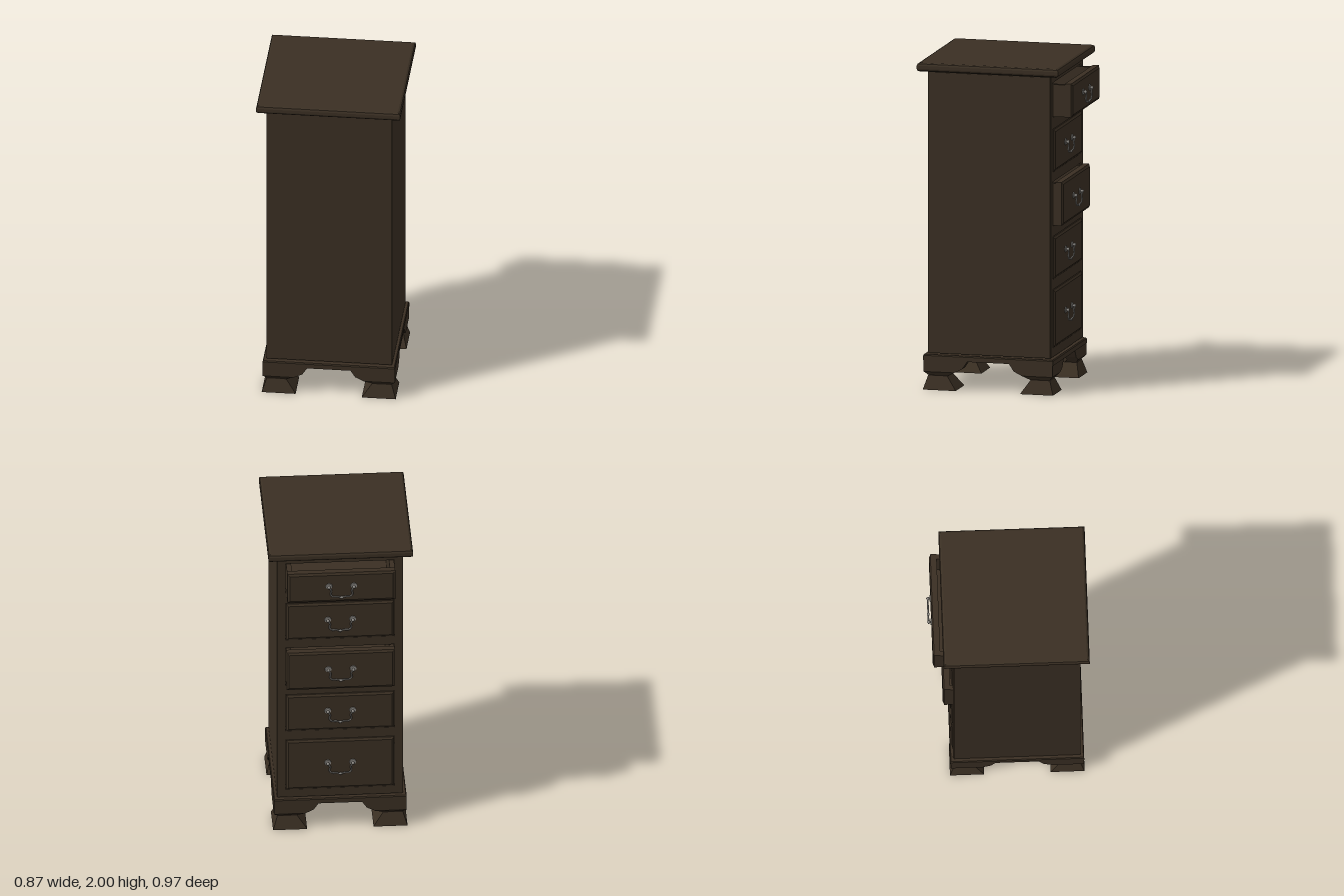
import * as THREE from 'three';

const wood = new THREE.MeshStandardMaterial({ color: 0x3a2f23 });
wood.name = 'dark wood';
const metal = new THREE.MeshStandardMaterial({ color: 0x8a8782 });
metal.name = 'aged metal';

// Stack of rectangular sections [y, xa, xb, za, zb], joined by flat faces and capped
function loft(sections) {
  const rings = sections.map(([y, xa, xb, za, zb]) => {
    const x0 = Math.min(xa, xb), x1 = Math.max(xa, xb);
    const z0 = Math.min(za, zb), z1 = Math.max(za, zb);
    return [[x0, y, z1], [x1, y, z1], [x1, y, z0], [x0, y, z0]];
  });
  const pos = [];
  const quad = (a, b, c, d) => pos.push(...a, ...b, ...c, ...a, ...c, ...d);
  for (let s = 0; s < rings.length - 1; s++) {
    const a = rings[s], b = rings[s + 1];
    for (let i = 0; i < 4; i++) quad(a[i], a[(i + 1) % 4], b[(i + 1) % 4], b[i]);
  }
  const lo = rings[0], hi = rings[rings.length - 1];
  quad(lo[3], lo[2], lo[1], lo[0]);
  quad(hi[0], hi[1], hi[2], hi[3]);
  const g = new THREE.BufferGeometry();
  g.setAttribute('position', new THREE.Float32BufferAttribute(pos, 3));
  g.computeVertexNormals();
  return g;
}

function add(parent, name, geometry, material = wood) {
  const m = new THREE.Mesh(geometry, material);
  m.name = name;
  parent.add(m);
  return m;
}

// Box given by its limits
function box(parent, name, x0, x1, y0, y1, z0, z1) {
  const g = new THREE.BoxGeometry(x1 - x0, y1 - y0, z1 - z0);
  g.translate((x0 + x1) / 2, (y0 + y1) / 2, (z0 + z1) / 2);
  return add(parent, name, g);
}

// Hanging bail handle, facing -z from its own origin
function createHandle() {
  const handle = new THREE.Group();
  handle.name = 'handle';
  for (const s of [-1, 1]) {
    const plate = add(handle, 'rosette', new THREE.CylinderGeometry(0.019, 0.021, 0.005, 10), metal);
    plate.rotation.x = -Math.PI / 2;
    plate.position.set(s * 0.075, 0.03, -0.0025);
    const post = add(handle, 'post', new THREE.CylinderGeometry(0.006, 0.006, 0.018, 8), metal);
    post.rotation.x = -Math.PI / 2;
    post.position.set(s * 0.075, 0.03, -0.009);
    const knob = add(handle, 'postKnob', new THREE.SphereGeometry(0.01, 10, 8), metal);
    knob.position.set(s * 0.075, 0.03, -0.016);
  }
  const half = [[0.075, 0.03], [0.062, 0.008], [0.066, -0.018], [0.052, -0.035], [0.025, -0.036]];
  const points = [
    ...half.map(([x, y]) => new THREE.Vector3(-x, y, -0.016)),
    new THREE.Vector3(0, -0.042, -0.016),
    ...half.slice().reverse().map(([x, y]) => new THREE.Vector3(x, y, -0.016)),
  ];
  add(handle, 'bail', new THREE.TubeGeometry(new THREE.CatmullRomCurve3(points), 40, 0.005, 8), metal);
  const bead = add(handle, 'bailBead', new THREE.SphereGeometry(0.008, 10, 8), metal);
  bead.scale.x = 1.6;
  bead.position.set(0, -0.042, -0.016);
  return handle;
}

// Drawer between heights y0 and y1, its face reaching z = front
function createDrawer(y0, y1, front) {
  const drawer = new THREE.Group();
  drawer.name = 'drawer';
  const w = 0.325, c = 0.007, back = front + 0.5;
  const face = loft([
    [-front - 0.045, -w, w, y0, y1],
    [-front - 0.008, -w, w, y0, y1],
    [-front - 0.005, -w + c, w - c, y0 + c, y1 - c],
    [-front, -w + 2 * c, w - 2 * c, y0 + 2 * c, y1 - 2 * c],
  ]);
  face.rotateX(-Math.PI / 2);
  add(drawer, 'drawerFace', face);
  const inner = front + 0.04, top = y1 - 0.008;
  box(drawer, 'drawerBottom', -w, w, y0, y0 + 0.015, inner, back);
  box(drawer, 'drawerBack', -w, w, y0, top, back - 0.02, back);
  for (const s of [-1, 1]) {
    const x = s * (w - 0.015);
    box(drawer, 'drawerSide', x - 0.015, x + 0.015, y0, top, inner, back);
  }
  const handle = createHandle();
  handle.position.set(0, (y0 + y1) / 2 - 0.018, front);
  drawer.add(handle);
  return drawer;
}

export function createModel() {
  const model = new THREE.Group();
  model.name = 'chestOfDrawers';

  // Moulded top board
  const topRing = (y, d) => [y, -0.436 + d, 0.436 - d, -0.4 + d, 0.48 - d];
  add(model, 'topBoard', loft([
    topRing(1.947, 0.014), topRing(1.955, 0.003), topRing(1.965, 0),
    topRing(1.983, 0), topRing(1.994, 0.005), topRing(2, 0.016),
  ]));

  // Carcass walls
  const y0 = 0.222, y1 = 1.938;
  for (const s of [-1, 1]) {
    box(model, 'sidePanel', s * 0.37 - 0.01, s * 0.37 + 0.01, y0, y1, -0.335, 0.425);
  }
  box(model, 'plainPanel', -0.365, 0.365, y0, y1, 0.405, 0.424);
  box(model, 'carcassFloor', -0.365, 0.365, y0, y0 + 0.02, -0.32, 0.41);
  box(model, 'carcassCeiling', -0.365, 0.365, y1 - 0.02, y1, -0.32, 0.41);

  // Drawer layout: bottom, top, face position
  const drawers = [
    [1.69, 1.895, -0.46],
    [1.355, 1.61, -0.351],
    [1.025, 1.29, -0.4],
    [0.7, 0.955, -0.351],
    [0.28, 0.63, -0.351],
  ];

  // Face frame with drawer openings
  const rect = (Type, x, a, b) => {
    const p = new Type();
    p.moveTo(-x, a).lineTo(x, a).lineTo(x, b).lineTo(-x, b).closePath();
    return p;
  };
  const frame = rect(THREE.Shape, 0.372, y0, y1);
  for (const [a, b] of drawers) frame.holes.push(rect(THREE.Path, 0.328, a - 0.003, b + 0.003));
  const frameGeometry = new THREE.ExtrudeGeometry(frame, { depth: 0.02, bevelEnabled: false });
  frameGeometry.translate(0, 0, -0.34);
  add(model, 'faceFrame', frameGeometry);

  for (const d of drawers) model.add(createDrawer(...d));

  // Plinth with four bracket feet
  const base = new THREE.Group();
  base.name = 'base';
  base.position.z = 0.045;
  model.add(base);
  const baseRing = (y, r) => [y, -r, r, -r - 0.003, r + 0.003];
  add(base, 'plinth', loft([baseRing(0.18, 0.4), baseRing(0.208, 0.4), baseRing(0.215, 0.395)]));
  const wing = [[0.085, 0.375, 0.255], [0.11, 0.4, 0.21], [0.135, 0.4, 0.16], [0.18, 0.4, 0.13]];
  for (const sx of [-1, 1]) {
    for (const sz of [-1, 1]) {
      const square = ([y, out, inn]) => [y, sx * out, sx * inn, sz * out, sz * inn];
      add(base, 'foot', loft([[0, 0.405, 0.2], [0.015, 0.4, 0.21], [0.085, 0.378, 0.26]].map(square)));
      add(base, 'footBlock', loft([[0.085, 0.37, 0.26], [0.18, 0.37, 0.26]].map(square)));
      add(base, 'bracket', loft(wing.map(([y, o, i]) => [y, sx * o, sx * i, sz * o, sz * (o - 0.07)])));
      add(base, 'bracket', loft(wing.map(([y, o, i]) => [y, sx * o, sx * (o - 0.07), sz * o, sz * i])));
    }
  }
  return model;
}
